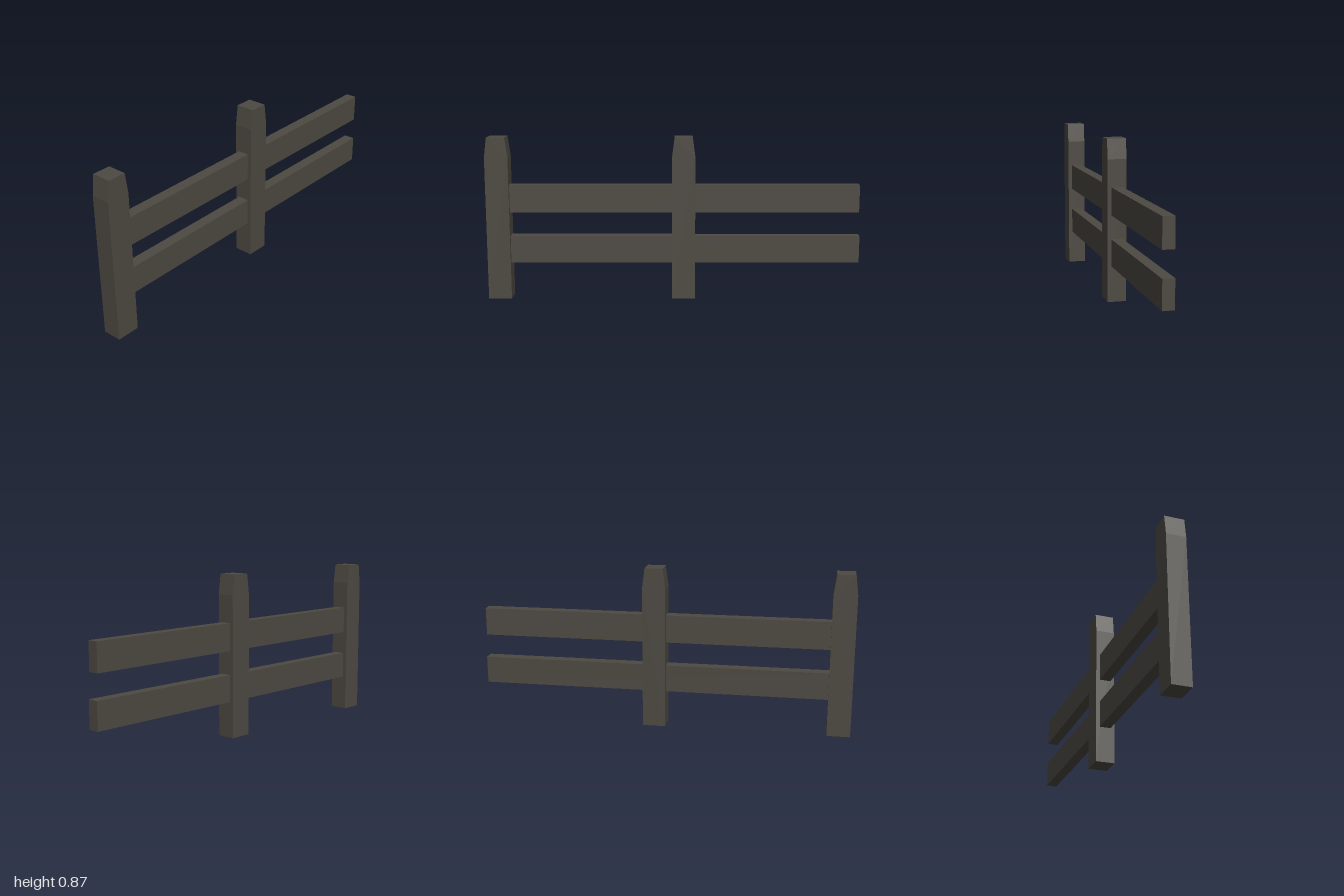
import * as THREE from 'three';

const wood = new THREE.MeshStandardMaterial({ color: 0x4d4942 });
wood.name = 'darkWood';

// Square post with a chamfered top on its front and back faces
function makePost(z) {
  const shape = new THREE.Shape([
    [-0.062, 0], [0.062, 0], [0.062, 0.766], [0.048, 0.873], [-0.048, 0.873], [-0.062, 0.766],
  ].map(([a, y]) => new THREE.Vector2(a, y)));
  const width = 0.102;
  const geometry = new THREE.ExtrudeGeometry(shape, { depth: width, bevelEnabled: false });
  geometry.translate(0, 0, -width / 2).rotateY(Math.PI / 2);
  const post = new THREE.Mesh(geometry, wood);
  post.position.z = z;
  return post;
}

// Plank running along z between two ends
function makeRail(bottom, top, back, front) {
  const rail = new THREE.Mesh(new THREE.BoxGeometry(0.06, top - bottom, front - back), wood);
  rail.position.set(0, (bottom + top) / 2, (back + front) / 2);
  return rail;
}

export function createModel() {
  const fence = new THREE.Group();
  fence.name = 'fence';

  const parts = {
    frontPost: makePost(0.938),
    middlePost: makePost(-0.054),
    upperRail: makeRail(0.469, 0.618, -0.993, 0.9),
    lowerRail: makeRail(0.195, 0.341, -1, 0.9),
  };
  for (const [name, part] of Object.entries(parts)) {
    part.name = name;
    fence.add(part);
  }
  return fence;
}
